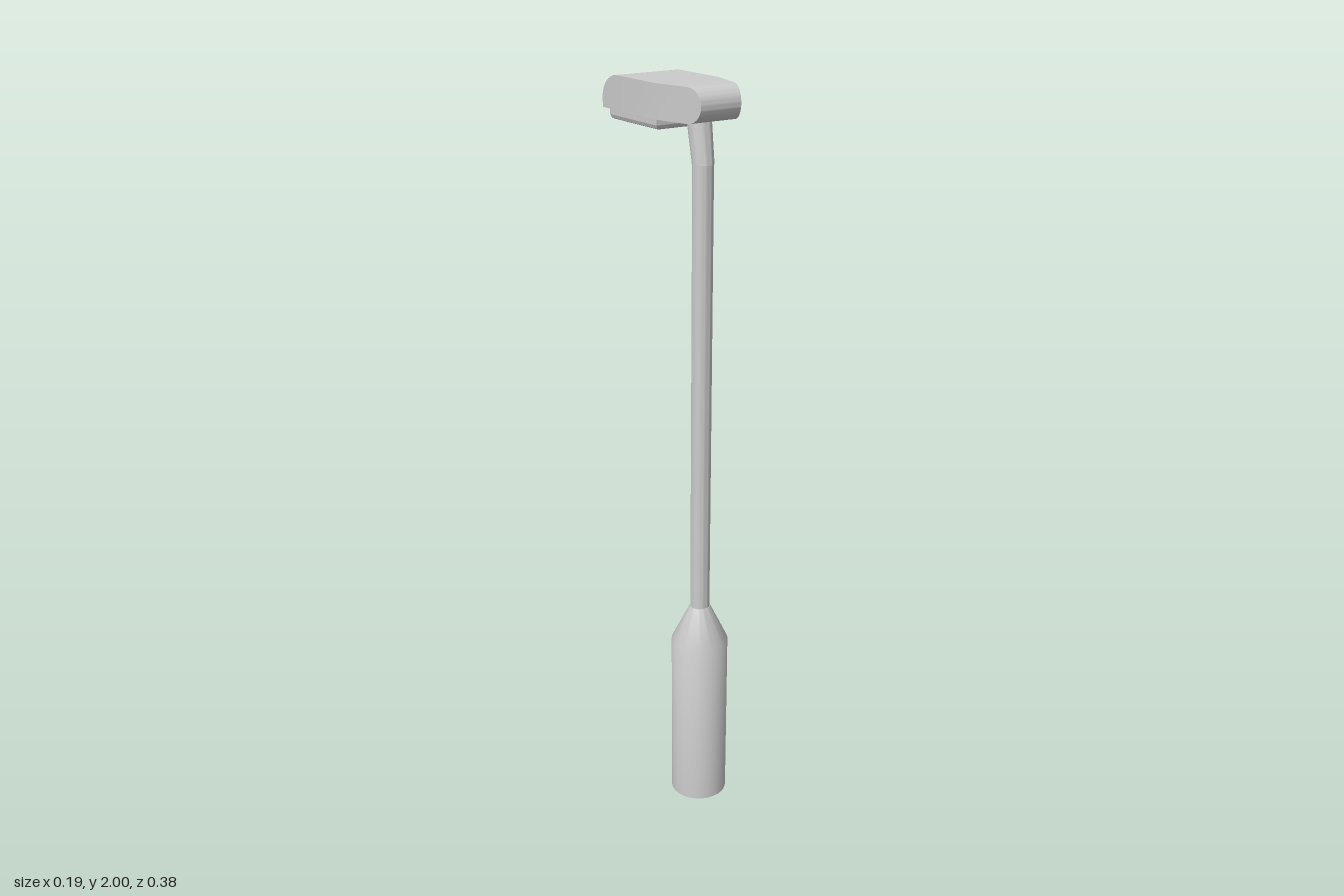
import * as THREE from 'three';
import { toCreasedNormals } from 'three/addons/utils/BufferGeometryUtils.js';

const POLE_Z = 0.114;

export function createModel() {
  const lamp = new THREE.Group();
  lamp.name = 'streetLamp';
  const material = new THREE.MeshStandardMaterial({ color: 0xcccccc });

  const add = (name, geometry, crease = 0.5) => {
    const mesh = new THREE.Mesh(toCreasedNormals(geometry, crease), material);
    mesh.name = name;
    lamp.add(mesh);
    return mesh;
  };
  const lathe = (points) =>
    new THREE.LatheGeometry(points.map(([r, y]) => new THREE.Vector2(r, y)), 32);

  // Thick base with a conical shoulder
  add('base', lathe([[0, 0], [0.078, 0], [0.078, 0.49], [0.028, 0.595], [0, 0.595]]))
    .position.z = POLE_Z;

  // Slender pole
  add('pole', lathe([[0, 0.58], [0.0265, 0.58], [0.0265, 1.815], [0, 1.815]]))
    .position.z = POLE_Z;

  // Neck: a short tube leaning back into the head, cut level at both ends
  const neck = new THREE.CylinderGeometry(0.031, 0.0275, 0.12, 32);
  neck.translate(0, 1.87, 0);
  const np = neck.attributes.position;
  for (let i = 0; i < np.count; i++) {
    np.setZ(i, np.getZ(i) + POLE_Z - (np.getY(i) - 1.81) * 0.17);
  }
  add('neck', neck);

  // Head: cross-sections [z, bottom, top] from back to front
  const bottom = 1.915, top = 2, mid = (top + bottom) / 2, radius = (top - bottom) / 2;
  const sections = [];
  const steps = 12;
  for (let i = 0; i <= steps; i++) { // back edge curves over the top only
    const a = (i / steps) * Math.PI / 2;
    sections.push([-0.122 - 0.07 * Math.cos(a), bottom, 1.94 + 0.06 * Math.sin(a)]);
  }
  sections.push([0.045, bottom, top]);
  for (let i = 0; i <= steps; i++) { // nose is fully rounded
    const a = (i / steps) * 1.55;
    const h = radius * Math.cos(a);
    sections.push([0.143 + radius * Math.sin(a), mid - h, mid + h]);
  }
  const last = sections.length - 1;
  const head = new THREE.BoxGeometry(1, 1, 1, 1, 1, last);
  const hp = head.attributes.position;
  for (let i = 0; i < hp.count; i++) {
    const [z, low, high] = sections[Math.round((hp.getZ(i) + 0.5) * last)];
    const halfWidth = 0.094 - Math.max(0, z - 0.045) * 0.255; // taper to the nose
    hp.setXYZ(i, Math.sign(hp.getX(i)) * halfWidth, hp.getY(i) > 0 ? high : low, z);
  }
  add('head', head);

  // Lamp panel with bevelled lower edge, sunk into the underside of the head
  const bevel = 0.012, w = 0.082 - bevel, l = 0.106 - bevel;
  const outline = new THREE.Shape([
    new THREE.Vector2(-w, -l), new THREE.Vector2(w, -l),
    new THREE.Vector2(w, l), new THREE.Vector2(-w, l),
  ]);
  const panel = new THREE.ExtrudeGeometry(outline, {
    depth: 0.026, bevelEnabled: true, bevelThickness: bevel, bevelSize: bevel, bevelSegments: 2,
  });
  panel.rotateX(Math.PI / 2);
  panel.translate(0, 1.886 + bevel + 0.026, -0.071);
  add('lampPanel', panel, 0.3);

  return lamp;
}
